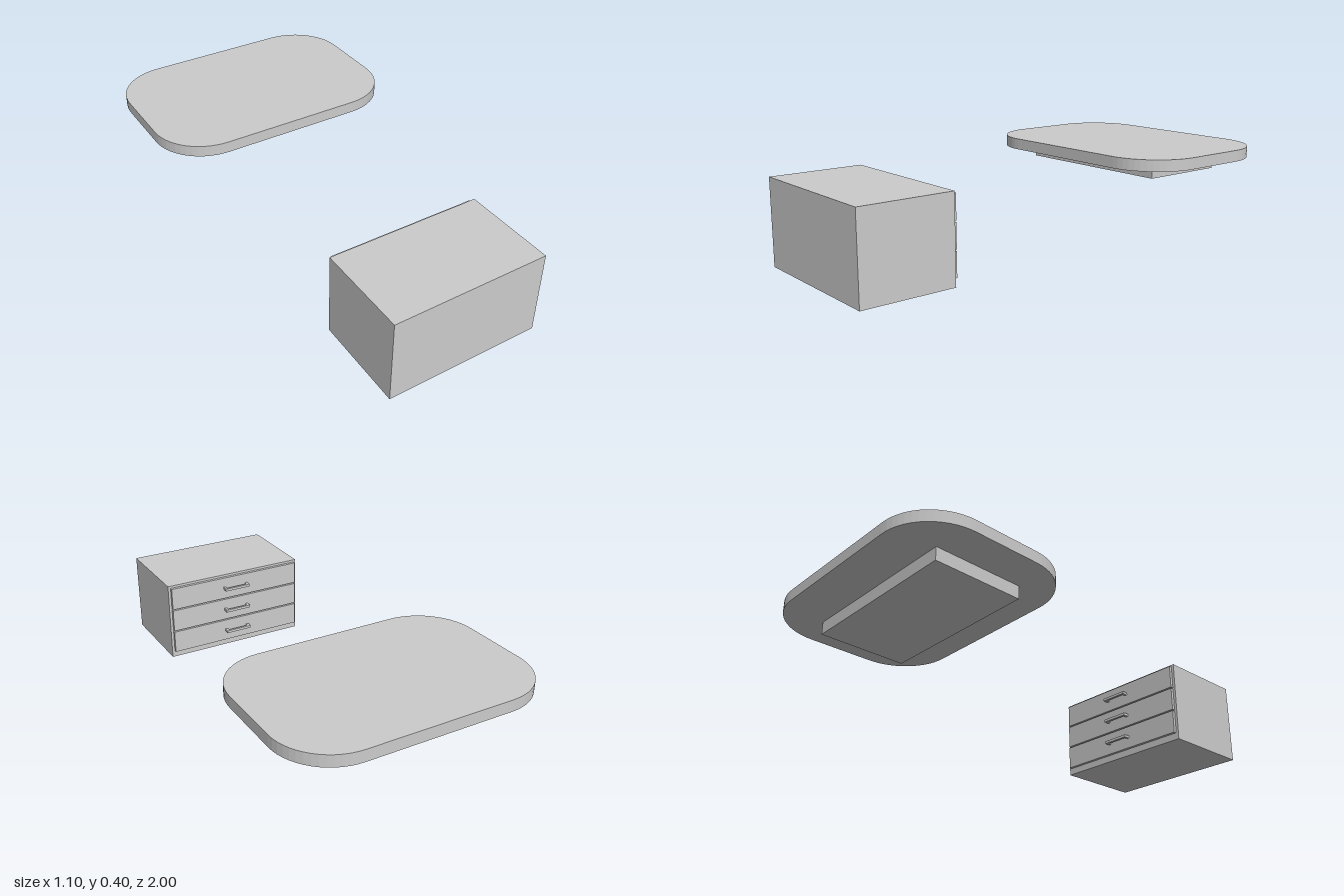
import * as THREE from 'three';

const material = new THREE.MeshStandardMaterial({ color: 0xcccccc, flatShading: true });

function addMesh(parent, name, geometry, x, y, z) {
  const mesh = new THREE.Mesh(geometry, material);
  mesh.name = name;
  mesh.position.set(x, y, z);
  parent.add(mesh);
  return mesh;
}

// Box given by its minimum and maximum corners
function addBox(parent, name, [x0, y0, z0], [x1, y1, z1]) {
  const geometry = new THREE.BoxGeometry(x1 - x0, y1 - y0, z1 - z0);
  return addMesh(parent, name, geometry, (x0 + x1) / 2, (y0 + y1) / 2, (z0 + z1) / 2);
}

// Rectangle with faceted round corners
function roundedRect(w, h, r) {
  const s = new THREE.Shape();
  const x = w / 2 - r, y = h / 2 - r;
  s.absarc(x, y, r, 0, Math.PI / 2);
  s.absarc(-x, y, r, Math.PI / 2, Math.PI);
  s.absarc(-x, -y, r, Math.PI, Math.PI * 1.5);
  s.absarc(x, -y, r, Math.PI * 1.5, Math.PI * 2);
  s.closePath();
  return s;
}

function createTable() {
  const table = new THREE.Group();
  table.name = 'table';
  // Rounded slab
  const slab = new THREE.ExtrudeGeometry(roundedRect(1.1, 0.76, 0.235), {
    depth: 0.05, bevelEnabled: false, curveSegments: 7,
  });
  slab.rotateX(-Math.PI / 2);
  addMesh(table, 'tableTop', slab, 0, 0.345, -0.62);
  // Solid block under the slab
  addBox(table, 'apron', [-0.383, 0.288, -0.812], [0.383, 0.345, -0.412]);
  return table;
}

function createHandle() {
  const handle = new THREE.Group();
  handle.name = 'handle';
  // Grip bar with a post and a small foot at each end
  addBox(handle, 'grip', [-0.062, -0.006, -0.027], [0.062, 0.006, -0.016]);
  for (const side of [-1, 1]) {
    const post = new THREE.BoxGeometry(0.012, 0.012, 0.018);
    addMesh(handle, 'post', post, side * 0.056, 0, -0.008);
  }
  return handle;
}

function createCabinet() {
  const cabinet = new THREE.Group();
  cabinet.name = 'cabinet';
  const centerX = 0.006;
  addBox(cabinet, 'case', [-0.331, 0.003, 0.595], [0.343, 0.366, 0.996]);
  // Thin panels closing the bottom and the far side
  addBox(cabinet, 'bottomPanel', [-0.331, 0, 0.595], [0.343, 0.003, 0.996]);
  addBox(cabinet, 'rearPanel', [-0.331, 0, 0.996], [0.343, 0.366, 1]);
  // Three overlaid drawer fronts with handles
  for (let i = 0; i < 3; i++) {
    const y = 0.083 + i * 0.11;
    addBox(cabinet, 'drawerFront', [-0.319, y - 0.052, 0.581], [0.331, y + 0.052, 0.595]);
    const handle = createHandle();
    handle.position.set(centerX, y, 0.581);
    cabinet.add(handle);
  }
  return cabinet;
}

export function createModel() {
  const model = new THREE.Group();
  model.name = 'deskAndDrawers';
  model.add(createTable(), createCabinet());
  return model;
}
